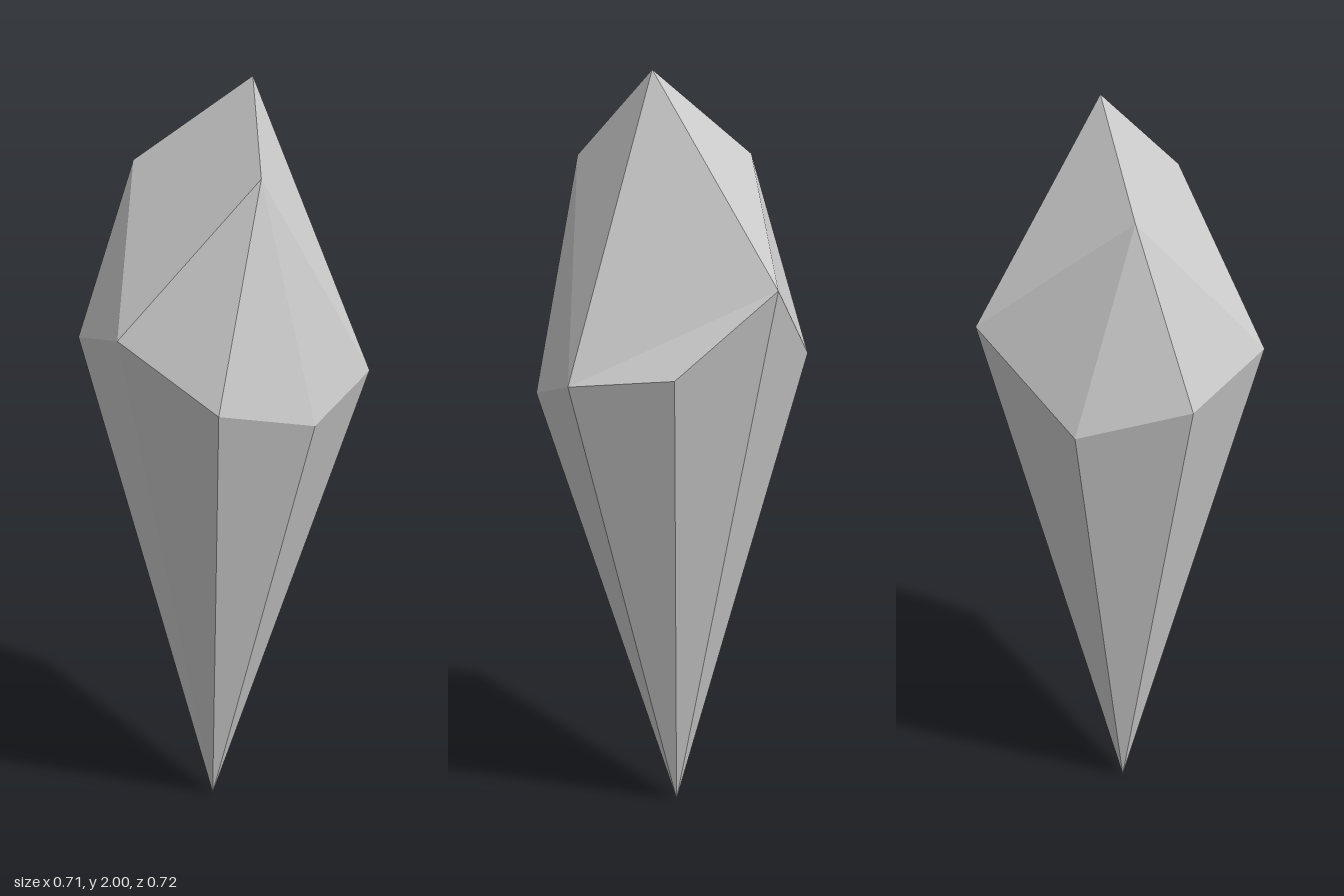
import * as THREE from 'three';

// Faceted crystal shard: a pointed tip, an uneven eight-sided girdle and a skewed crown.
const tip = [-0.015, 0, 0];
const girdle = [ // starts at +x and runs round by the front
  [0.355, 1.17, 0], [0.277, 1.23, 0.258], [0.025, 1.39, 0.36], [-0.263, 1.33, 0.247],
  [-0.358, 1.27, -0.023], [-0.237, 1.48, -0.313], [0.02, 1.27, -0.362], [0.277, 1.245, -0.29],
];
const peak = [0.053, 2, -0.075];
const rightShoulder = [-0.217, 1.78, 0.088];
const leftShoulder = [0.237, 1.78, 0.078];

function facets(name, triangles, material) {
  const geometry = new THREE.BufferGeometry();
  geometry.setAttribute('position', new THREE.Float32BufferAttribute(triangles.flat(2), 3));
  geometry.computeVertexNormals();
  const mesh = new THREE.Mesh(geometry, material);
  mesh.name = name;
  return mesh;
}

export function createModel() {
  const group = new THREE.Group();
  group.name = 'crystal';
  const material = new THREE.MeshStandardMaterial({ color: 0xcccccc, flatShading: true });

  // Long lower point: a fan from the tip to the girdle
  const point = girdle.map((v, i) => [tip, v, girdle[(i + 1) % girdle.length]]);
  group.add(facets('lowerPoint', point, material));

  // Crown: facets joining girdle, shoulders and peak
  const [a, b, c, d, e, f, g, h] = girdle;
  const P = rightShoulder, Q = leftShoulder, T = peak;
  const crown = [
    [T, P, C(c)], [T, c, Q], [T, Q, h], [T, h, f], [T, f, P], // round the peak
    [P, f, e], [P, e, d], [P, d, c], // right shoulder
    [Q, c, b], [Q, b, a], [Q, a, h], // left shoulder
    [h, g, f], // back bevel
  ];
  group.add(facets('crown', crown, material));
  return group;
}

function C(v) { return v; }
